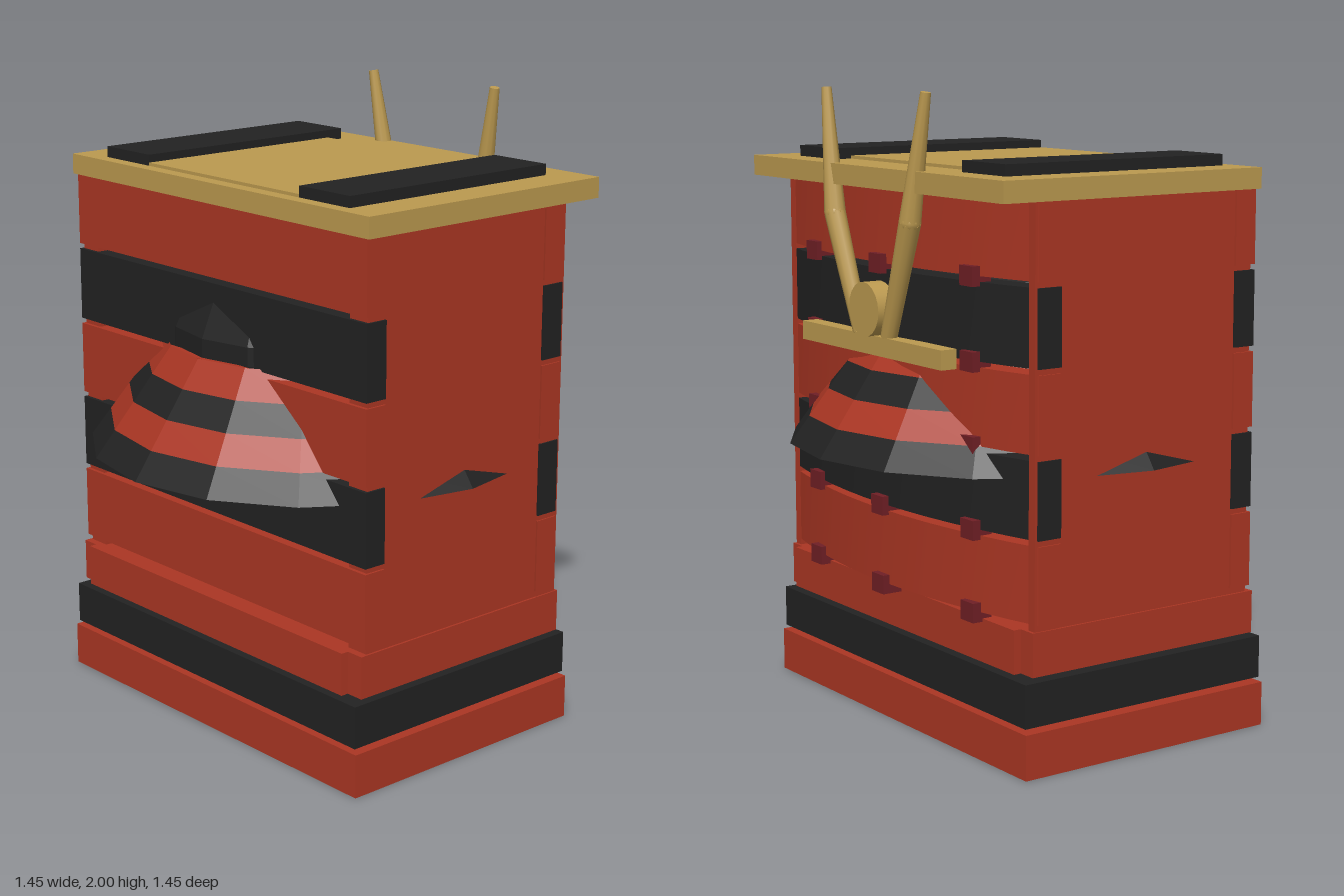
import * as THREE from 'three';

const mat = (name, color, side = THREE.FrontSide) => {
  const m = new THREE.MeshStandardMaterial({ color, side });
  m.name = name;
  return m;
};

export function createModel() {
  const red = mat('lacquer red', 0xab3623, THREE.DoubleSide);
  const black = mat('lacquer black', 0x222222, THREE.DoubleSide);
  const gold = mat('gold', 0xbb994f);
  const maroon = mat('maroon', 0x701f25);
  const model = new THREE.Group();
  model.name = 'armourBox';

  const add = (name, geo, material) => {
    const mesh = new THREE.Mesh(geo, material);
    mesh.name = name;
    model.add(mesh);
    return mesh;
  };
  // box given by its limits on each axis
  const box = (name, material, [x0, x1], [y0, y1], [z0, z1], segs = 1) => {
    const g = new THREE.BoxGeometry(x1 - x0, y1 - y0, z1 - z0, segs, 1, 1);
    g.translate((x0 + x1) / 2, (y0 + y1) / 2, (z0 + z1) / 2);
    return add(name, g, material);
  };
  // outer surface of the bowed back
  const backZ = (x) => -0.5 + 0.095 * (x / 0.695) ** 2;

  // hollow base tiers, each four boards
  const tiers = [
    [0, 0.14, 0.71, 0.46, red],
    [0.155, 0.29, 0.70, 0.455, black],
    [0.305, 0.44, 0.695, 0.45, red],
  ];
  tiers.forEach(([y0, y1, x, z, m], i) => {
    const inset = i === 2 ? 0.06 : 0;
    for (const s of [-1, 1]) {
      const zs = [s * 0.275, s * z].sort((a, b) => a - b);
      const xs = [s * 0.545, s * x].sort((a, b) => a - b);
      box('baseLongBoard', m, [-x + inset, x - inset], [y0, y1], zs);
      const end = i === 2 ? 0.425 : 0.275;
      box('baseEndBoard', m, xs, [y0, y1], [-end, end]);
    }
  });
  box('floor', gold, [-0.33, 0.33], [0.44, 0.455], [-0.3, 0.3]);

  // side panels and thin back corner posts
  for (const s of [-1, 1]) {
    const span = (a, b) => (s > 0 ? [a, b] : [-b, -a]);
    box('sidePanel', red, span(0.61, 0.688), [0.44, 1.7], [-0.33, 0.4]);
    box('cornerPost', red, span(0.66, 0.69), [0.44, 1.7], [-0.415, -0.33]);
  }

  // alternating slats: flat at the front, bowed at the back
  for (let i = 0; i < 5; i++) {
    const y = [0.46 + i * 0.2525, 0.695 + i * 0.2525];
    const m = i % 2 ? black : red;
    box('frontSlat', m, [-0.695, 0.695], y, [0.335, 0.412]);
    const slat = box('backSlat', m, [-0.695, 0.695], y, [0, 0.082], 12);
    const p = slat.geometry.attributes.position;
    for (let v = 0; v < p.count; v++) p.setZ(v, p.getZ(v) + backZ(p.getX(v)));
    slat.geometry.computeVertexNormals();

    // lacing knots along the lower edge
    const ky = 0.46 + i * 0.2525;
    for (const x of [-0.44, 0, 0.44]) {
      const z = backZ(x);
      box('lacingKnot', maroon, [x - 0.033, x + 0.033], [ky - 0.03, ky + 0.03], [z - 0.022, z + 0.045]);
    }
  }

  // lid with raised panel and two dark battens
  box('lid', gold, [-0.71, 0.71], [1.7, 1.765], [-0.54, 0.42]);
  box('lidPanel', gold, [-0.36, 0.36], [1.765, 1.775], [-0.38, 0.375]);
  for (const x of [-0.47, 0.47]) {
    box('lidBatten', black, [x - 0.11, x + 0.11], [1.765, 1.8], [-0.44, 0.375]);
  }

  // banded conical skirt passing through the box
  const ring = (name, m, pts) => {
    const g = new THREE.LatheGeometry(pts.map(([r, y]) => new THREE.Vector2(r, y)), 16).toNonIndexed();
    g.computeVertexNormals();
    add(name, g, m);
  };
  const edge = (i) => [0.725 - i * 0.0625, 0.88 + i * 0.0863];
  for (let i = 0; i < 4; i++) ring('skirtBand', i % 2 ? red : black, [edge(i), edge(i + 1)]);
  ring('skirtCrown', black, [[0.458, 1.225], [0.458, 1.285], [0.4, 1.42], [0.22, 1.52], [0, 1.55]]);

  // crest on the back: crossbar, disc and two bent horns
  box('crestBar', gold, [-0.4, 0.4], [1.19, 1.25], [-0.545, -0.49]);
  const disc = new THREE.CylinderGeometry(0.085, 0.085, 0.065, 20);
  disc.rotateX(Math.PI / 2);
  disc.translate(0, 1.33, -0.53);
  add('crestDisc', disc, gold);

  const rod = (name, a, b, ra, rb) => {
    const dir = b.clone().sub(a);
    const mesh = add(name, new THREE.CylinderGeometry(rb, ra, dir.length(), 10), gold);
    mesh.position.copy(a).add(b).multiplyScalar(0.5);
    mesh.quaternion.setFromUnitVectors(new THREE.Vector3(0, 1, 0), dir.normalize());
  };
  for (const s of [-1, 1]) {
    const base = new THREE.Vector3(s * 0.08, 1.25, -0.522);
    const elbow = new THREE.Vector3(s * 0.215, 1.61, -0.53);
    const tip = new THREE.Vector3(s * 0.282, 1.997, -0.515);
    rod('hornLower', base, elbow, 0.026, 0.034);
    rod('hornUpper', elbow, tip, 0.034, 0.016);
    const joint = add('hornElbow', new THREE.SphereGeometry(0.034, 10, 8), gold);
    joint.position.copy(elbow);
  }

  return model;
}
